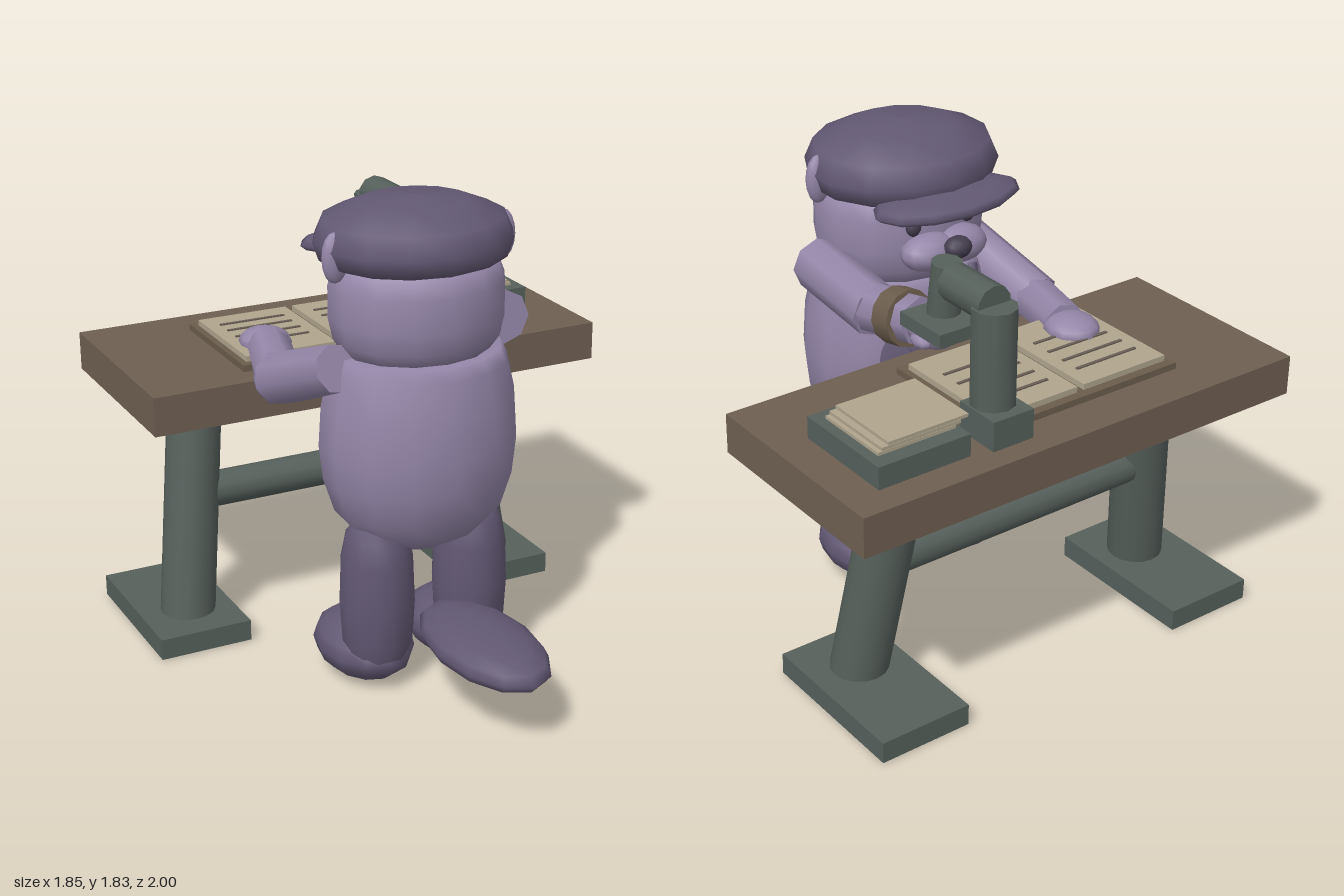
import * as THREE from 'three';

const mat = (name, color) => {
  const m = new THREE.MeshStandardMaterial({ color });
  m.name = name;
  return m;
};

export function createModel() {
  const fur = mat('light fur', 0x9486a8);
  const dark = mat('dark fur', 0x625873);
  const wood = mat('wood', 0x6f5f52);
  const metal = mat('metal', 0x56605b);
  const paper = mat('paper', 0xb0a58e);
  const leather = mat('leather', 0x6c5d4d);
  const ink = mat('ink', 0x6a5f55);
  const black = mat('nose and eyes', 0x453e50);

  const model = new THREE.Group();
  const animal = new THREE.Group();
  animal.name = 'animal';
  const desk = new THREE.Group();
  desk.name = 'desk';
  const press = new THREE.Group();
  press.name = 'stampPress';
  model.add(animal, desk, press);
  const cx = -0.065; // centre line of the animal and desk frame

  const add = (parent, name, geo, material) => {
    const m = new THREE.Mesh(geo, material);
    m.name = name;
    parent.add(m);
    return m;
  };
  // Box from its lower and upper limits
  const box = (parent, name, material, [x0, x1], [y0, y1], [z0, z1]) => {
    const m = add(parent, name, new THREE.BoxGeometry(x1 - x0, y1 - y0, z1 - z0), material);
    m.position.set((x0 + x1) / 2, (y0 + y1) / 2, (z0 + z1) / 2);
    return m;
  };
  const ball = (parent, name, material, p, r, seg = 12) => {
    const m = add(parent, name, new THREE.SphereGeometry(1, seg, 8), material);
    m.position.set(...p);
    m.scale.set(...r);
    return m;
  };
  // Cylinder running from a to b
  const rod = (parent, name, material, a, b, r0, r1 = r0, seg = 12) => {
    const va = new THREE.Vector3(...a), vb = new THREE.Vector3(...b);
    const d = vb.clone().sub(va);
    const m = add(parent, name, new THREE.CylinderGeometry(r1, r0, d.length(), seg), material);
    m.position.copy(va).add(vb).multiplyScalar(0.5);
    m.quaternion.setFromUnitVectors(new THREE.Vector3(0, 1, 0), d.normalize());
    return m;
  };
  const lathe = (name, material, pts, x, z, zScale) => {
    const geo = new THREE.LatheGeometry(pts.map(p => new THREE.Vector2(...p)), 14);
    const m = add(animal, name, geo, material);
    m.position.set(x, 0, z);
    m.scale.z = zScale;
    return m;
  };

  // Desk: top, slanted legs, foot plates and cross bar
  box(desk, 'deskTop', wood, [-0.925, 0.925], [0.955, 1.105], [-1, -0.18]);
  for (const s of [-1, 1]) {
    rod(desk, 'deskLeg', metal, [cx + s * 0.66, 0.07, -0.466], [cx + s * 0.55, 0.96, -0.58], 0.107, 0.105, 16);
    const x = cx + s * 0.665;
    box(desk, 'footPlate', metal, [x - 0.183, x + 0.183], [0.012, 0.095], [-0.89, -0.255]);
  }
  rod(desk, 'crossBar', metal, [cx - 0.59, 0.55, -0.53], [cx + 0.59, 0.55, -0.53], 0.07);

  // Open book with ruled lines
  box(desk, 'bookCover', leather, [-0.53, 0.29], [1.105, 1.13], [-0.83, -0.285]);
  for (const x of [-0.32, 0.08]) {
    box(desk, 'page', paper, [x - 0.185, x + 0.185], [1.13, 1.152], [-0.795, -0.32]);
    for (const z of [-0.695, -0.62, -0.54, -0.46])
      box(desk, 'writtenLine', ink, [x - 0.135, x + 0.135], [1.151, 1.157], [z - 0.006, z + 0.006]);
  }

  // Paper tray
  box(desk, 'tray', metal, [0.425, 0.79], [1.105, 1.188], [-0.89, -0.48]);
  [0.75, 0.735, 0.71].forEach((x, i) =>
    box(desk, 'sheet', paper, [x - 0.31 - i * 0.005, x], [1.188 + i * 0.013, 1.2 + i * 0.013], [-0.83, -0.53]));

  // Stamp press: base, column, arm, head and plate
  const px = 0.267;
  box(press, 'pressBase', metal, [px - 0.083, px + 0.083], [1.105, 1.215], [-0.915, -0.73]);
  rod(press, 'pressColumn', metal, [px, 1.2, -0.8], [px, 1.57, -0.8], 0.08, 0.08, 10);
  rod(press, 'pressArm', metal, [px, 1.572, -0.8], [px, 1.572, -0.58], 0.068, 0.068, 10);
  rod(press, 'pressHead', metal, [px, 1.43, -0.525], [px, 1.63, -0.545], 0.06, 0.055, 10);
  box(press, 'pressPlate', metal, [px - 0.118, px + 0.118], [1.39, 1.44], [-0.665, -0.44]);

  // Body and head
  lathe('body', fur, [[0, 0.51], [0.12, 0.54], [0.24, 0.6], [0.32, 0.69], [0.362, 0.82], [0.376, 0.95],
    [0.366, 1.1], [0.335, 1.24], [0.31, 1.29], [0, 1.3]], cx, 0.22, 0.83);
  lathe('head', fur, [[0, 1.27], [0.27, 1.285], [0.31, 1.34], [0.327, 1.42], [0.327, 1.54], [0.3, 1.61],
    [0.2, 1.65], [0, 1.66]], cx, 0.205, 0.87);

  // Apron bib with straps
  ball(animal, 'bib', dark, [cx, 0.91, -0.035], [0.27, 0.34, 0.085]);
  for (const s of [-1, 1])
    rod(animal, 'bibStrap', dark, [cx + s * 0.2, 1.27, 0.02], [cx + s * 0.15, 0.98, -0.1], 0.025, 0.025, 8);

  // Face
  ball(animal, 'nose', black, [cx, 1.455, -0.165], [0.055, 0.042, 0.045]);
  box(animal, 'teeth', paper, [cx - 0.03, cx + 0.03], [1.32, 1.39], [-0.115, -0.095]);
  for (const s of [-1, 1]) {
    ball(animal, 'muzzle', fur, [cx + s * 0.065, 1.425, -0.08], [0.115, 0.07, 0.085]);
    ball(animal, 'eye', black, [cx + s * 0.12, 1.525, -0.06], [0.03, 0.035, 0.025]);
    ball(animal, 'ear', fur, [cx + s * 0.33, 1.665, 0.23], [0.05, 0.092, 0.033]);
  }

  // Cap with brim
  lathe('cap', dark, [[0, 1.59], [0.26, 1.59], [0.345, 1.625], [0.368, 1.69], [0.335, 1.765], [0.2, 1.82],
    [0, 1.84]], cx, 0.18, 0.89);
  const brim = ball(animal, 'capBrim', dark, [cx, 1.617, -0.1], [0.31, 0.047, 0.15]);
  brim.rotation.x = -0.03;

  // Legs and feet
  for (const s of [-1, 1]) {
    const x = cx + s * 0.192;
    lathe('leg', dark, [[0.1, 0.1], [0.132, 0.2], [0.141, 0.36], [0.135, 0.52], [0.115, 0.62],
      [0.08, 0.665], [0, 0.672]], x, 0.262, 1);
    ball(animal, 'foot', dark, [x, 0.13, 0.145], [0.177, 0.122, 0.237]);
  }

  // Flat tail
  ball(animal, 'tail', dark, [-0.02, 0.283, 0.64], [0.187, 0.08, 0.36]);

  // Left arm reaching to the press, with a cuff
  rod(animal, 'upperArm', fur, [0.285, 1.345, 0.22], [0.3, 1.312, -0.18], 0.1, 0.098, 8);
  rod(animal, 'forearm', fur, [0.295, 1.318, -0.16], [0.28, 1.362, -0.42], 0.093, 0.088, 8);
  rod(animal, 'cuff', leather, [0.29, 1.336, -0.275], [0.286, 1.351, -0.36], 0.103, 0.103, 12);
  ball(animal, 'hand', fur, [0.272, 1.362, -0.47], [0.085, 0.075, 0.11]);
  ball(animal, 'thumb', fur, [0.345, 1.34, -0.5], [0.025, 0.025, 0.05], 8);

  // Right arm resting on the book
  rod(animal, 'upperArm', fur, [-0.4, 1.27, 0.25], [-0.462, 1.12, -0.13], 0.09, 0.1, 8);
  ball(animal, 'elbow', fur, [-0.462, 1.12, -0.13], [0.09, 0.09, 0.09]);
  rod(animal, 'forearm', fur, [-0.46, 1.125, -0.12], [-0.38, 1.145, -0.4], 0.092, 0.085, 8);
  ball(animal, 'hand', fur, [-0.375, 1.155, -0.44], [0.1, 0.055, 0.11]);

  return model;
}
